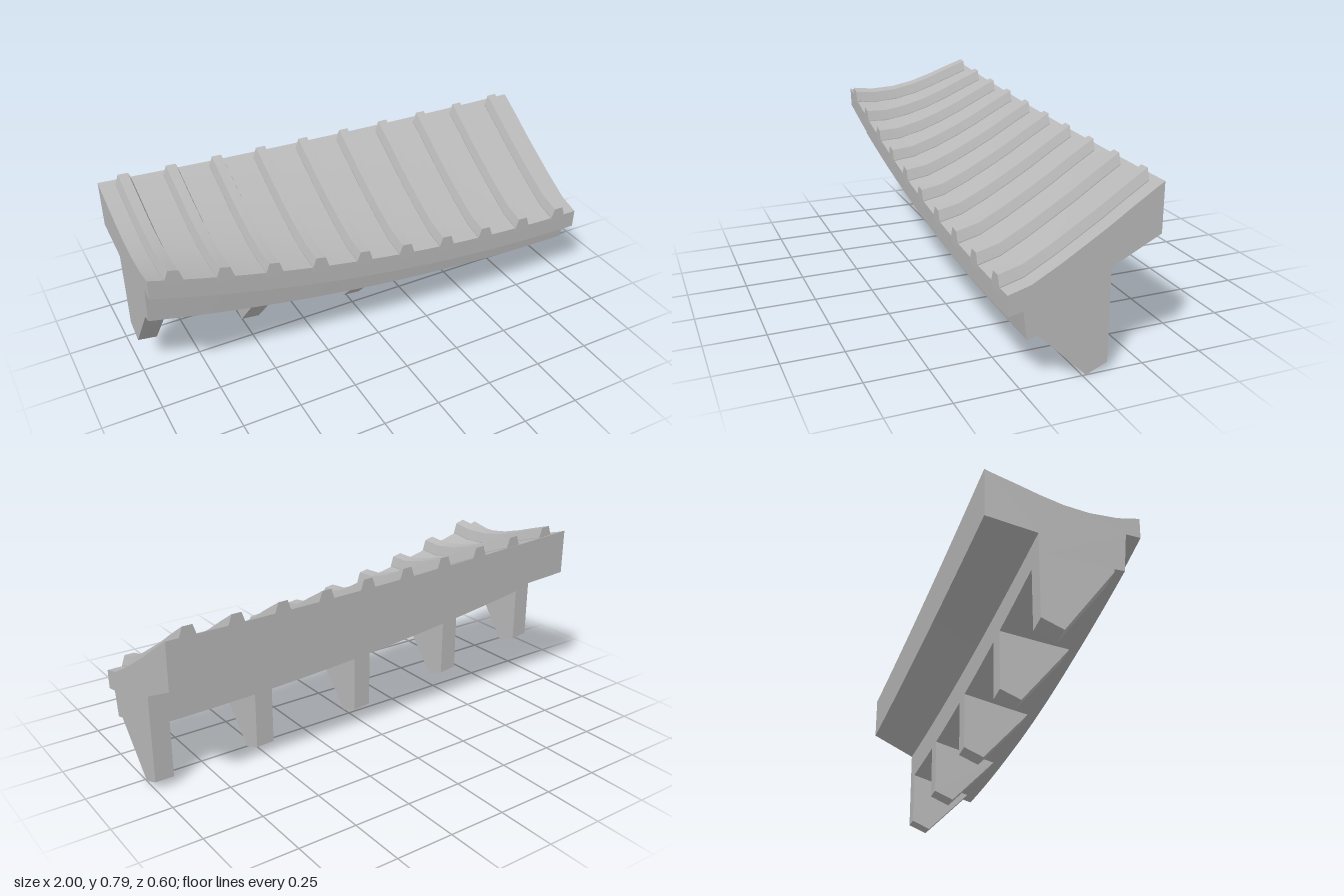
import * as THREE from 'three';
import { toCreasedNormals } from 'three/addons/utils/BufferGeometryUtils.js';

const grey = new THREE.MeshStandardMaterial({ color: 0xb8b8b8 });
grey.name = 'stone grey';

// Everything sags from the high end (x = -1) to the low end (x = 1)
const sag = x => ((1 - x) / 2) ** 2;
const mix = (low, high, x) => low + (high - low) * sag(x);

// Walking surface: [z, y at low end, y at high end], front to back
const surface = [
  [0.3, 0.37, 0.67], [0.21, 0.395, 0.655], [0.1, 0.455, 0.655], [0, 0.515, 0.67],
  [-0.09, 0.57, 0.695], [-0.18, 0.63, 0.725], [-0.275, 0.69, 0.755], [-0.3, 0.705, 0.765],
];
// Underside, back to front
const underside = [
  [-0.3, 0.508, 0.565], [-0.1, 0.41, 0.53], [-0.1, 0.28, 0.44],
  [0.225, 0.188, 0.43], [0.24, 0.3, 0.59], [0.298, 0.288, 0.585],
];
const row = (rows, x) => rows.map(([z, a, b]) => [z, mix(a, b, x)]);

// Skin a closed [z, y] section along the x stations and cap both ends
function loft(name, stations, section, crease = 0.45) {
  const pos = [];
  const rings = stations.map(x => section(x).map(([z, y]) => new THREE.Vector3(x, y, z)));
  const tri = (a, b, c) => [a, b, c].forEach(v => pos.push(v.x, v.y, v.z));
  for (let i = 0; i + 1 < rings.length; i++) {
    const p = rings[i], q = rings[i + 1], n = p.length;
    for (let j = 0; j < n; j++) {
      const k = (j + 1) % n;
      tri(p[j], q[j], q[k]);
      tri(p[j], q[k], p[k]);
    }
  }
  for (const [ring, side] of [[rings[0], -1], [rings[rings.length - 1], 1]]) {
    const flat = ring.map(v => new THREE.Vector2(-v.z, v.y));
    for (const [a, b, c] of THREE.ShapeUtils.triangulateShape(flat, [])) {
      const ccw = THREE.ShapeUtils.area([flat[a], flat[b], flat[c]]) > 0 ? 1 : -1;
      if (ccw === side) tri(ring[a], ring[b], ring[c]);
      else tri(ring[a], ring[c], ring[b]);
    }
  }
  const geo = new THREE.BufferGeometry();
  geo.setAttribute('position', new THREE.Float32BufferAttribute(pos, 3));
  const mesh = new THREE.Mesh(toCreasedNormals(geo, crease), grey);
  mesh.name = name;
  return mesh;
}

export function createModel() {
  const model = new THREE.Group();
  model.name = 'rampSegment';

  // Deck with its front lip, back wall and lower beam
  const steps = Array.from({ length: 21 }, (_, i) => -1 + i / 10);
  model.add(loft('deck', steps, x => [...row(surface, x), ...row(underside, x)]));

  // Ten raised ribs with sloping sides that follow the surface
  const ribs = new THREE.Group();
  ribs.name = 'ribs';
  const ribLine = surface.slice(0, -1);
  for (let i = 0; i < 10; i++) {
    const cx = -0.9 + i * 0.2;
    const section = x => {
      const height = Math.abs(x - cx) < 0.03 ? 0.045 : 0.004;
      const line = row(ribLine, x).map(([z, y], j) => [j === 0 ? 0.303 : z, y]);
      return [
        ...line.map(([z, y]) => [z, y + height]),
        ...line.map(([z, y]) => [z, y - 0.02]).reverse(),
      ];
    };
    ribs.add(loft('rib', [-0.035, -0.021, 0.021, 0.035].map(d => cx + d), section, 0.3));
  }
  model.add(ribs);

  // Five bracket legs with a slanted front
  const legs = new THREE.Group();
  legs.name = 'legs';
  for (const cx of [-0.96, -0.5, 0, 0.5, 0.96]) {
    const section = x => row([
      [0.185, 0.25, 0.47], [-0.1, 0.32, 0.48], [-0.1, 0.036, 0.19],
      [-0.015, 0, 0.155], [0.185, 0.2, 0.42],
    ], x);
    legs.add(loft('leg', [cx - 0.04, cx + 0.04], section));
  }
  model.add(legs);

  return model;
}
